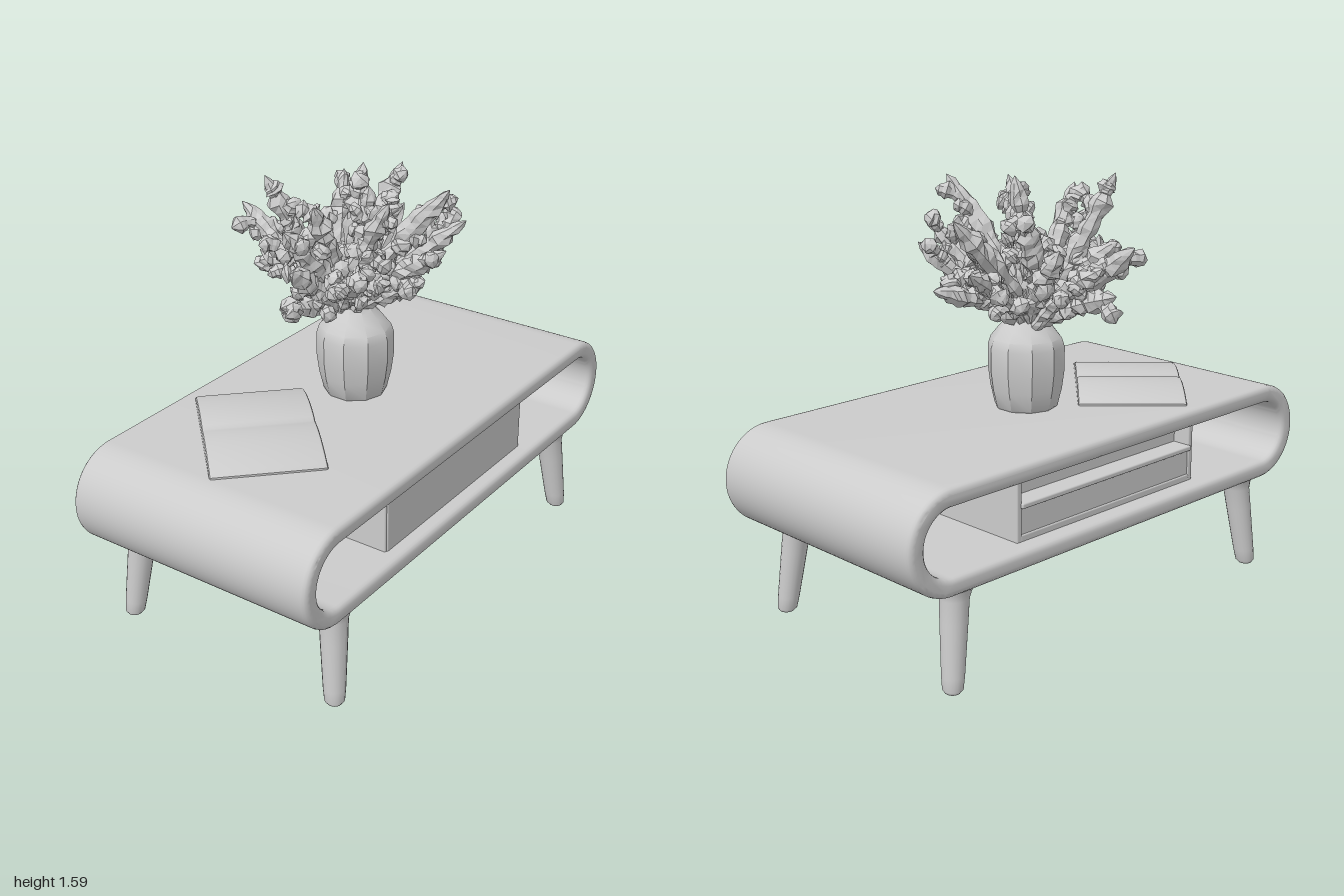
import * as THREE from 'three';
import { toCreasedNormals, mergeGeometries } from 'three/addons/utils/BufferGeometryUtils.js';
import { RoundedBoxGeometry } from 'three/addons/geometries/RoundedBoxGeometry.js';

const grey = new THREE.MeshStandardMaterial({ color: 0xcccccc });
const crumpled = new THREE.MeshStandardMaterial({ color: 0xcccccc, flatShading: true, side: THREE.DoubleSide });
const V = (x, y, z) => new THREE.Vector3(x, y, z);

let seed = 11;
const rand = (a, b) => {
  seed = (seed * 16807) % 2147483647;
  return a + (b - a) * (seed / 2147483647);
};

function add(parent, name, geometry, material = grey, pos = [0, 0, 0]) {
  const mesh = new THREE.Mesh(geometry, material);
  mesh.name = name;
  mesh.position.set(...pos);
  parent.add(mesh);
  return mesh;
}

function box(parent, name, x0, x1, y0, y1, z0, z1) {
  add(parent, name, new RoundedBoxGeometry(x1 - x0, y1 - y0, z1 - z0, 2, 0.006), grey,
    [(x0 + x1) / 2, (y0 + y1) / 2, (z0 + z1) / 2]);
}

// Traces a rectangle with semicircular ends
function stadium(path, halfWidth, r) {
  const c = halfWidth - r;
  path.moveTo(-c, -r);
  path.lineTo(c, -r);
  path.absarc(c, 0, r, -Math.PI / 2, Math.PI / 2, false);
  path.lineTo(-c, r);
  path.absarc(-c, 0, r, Math.PI / 2, Math.PI * 1.5, false);
  return path;
}

// Looped table body, open at the front and back
function buildShell(parent) {
  const shape = stadium(new THREE.Shape(), 1, 0.185);
  shape.holes.push(stadium(new THREE.Path(), 0.932, 0.12));
  const geo = new THREE.ExtrudeGeometry(shape, {
    depth: 0.966, bevelThickness: 0.02, bevelSize: 0.02, bevelOffset: -0.02, bevelSegments: 3, curveSegments: 20,
  });
  geo.translate(0, 0.546, -0.483);
  add(parent, 'tableShell', toCreasedNormals(geo, 0.6));
}

// Central compartment: dividers, flush drawer front, stepped back
function buildCompartment(parent) {
  const g = new THREE.Group();
  g.name = 'drawerCompartment';
  parent.add(g);
  for (const s of [-1, 1]) {
    const x = s * 0.451;
    box(g, 'divider', x - 0.012, x + 0.012, 0.42, 0.675, -0.43, 0.44);
  }
  box(g, 'drawerFront', -0.455, 0.455, 0.42, 0.655, 0.40, 0.445);
  box(g, 'compartmentFloor', -0.445, 0.445, 0.42, 0.45, -0.43, 0.42);
  box(g, 'backPanel', -0.445, 0.445, 0.43, 0.56, -0.425, -0.39);
  box(g, 'backLedge', -0.445, 0.445, 0.545, 0.565, -0.44, -0.33);
  box(g, 'upperBackPanel', -0.445, 0.445, 0.56, 0.675, -0.36, -0.33);
}

// Tapered, splayed legs with a small collar
function buildLegs(parent) {
  const profile = [[0, 0], [0.026, 0.002], [0.036, 0.014], [0.04, 0.06], [0.048, 0.24], [0.051, 0.32], [0.058, 0.345], [0.068, 0.37]];
  const geo = new THREE.LatheGeometry(profile.map(p => new THREE.Vector2(...p)), 20);
  for (const sx of [-1, 1]) for (const sz of [-1, 1]) {
    const leg = geo.clone();
    const p = leg.attributes.position;
    for (let i = 0; i < p.count; i++) {
      const t = p.getY(i) / 0.37;
      p.setX(i, p.getX(i) + sx * (0.788 - 0.045 * t));
      p.setZ(i, p.getZ(i) + sz * (0.457 - 0.034 * t));
    }
    leg.computeVertexNormals();
    add(parent, 'leg', leg);
  }
}

// Open book lying across the left of the top, its pages thinning to the edges
function buildBook(parent) {
  const s = new THREE.Shape();
  s.moveTo(-0.3, -0.005);
  s.lineTo(0.3, -0.005);
  s.lineTo(0.3, 0.008);
  s.bezierCurveTo(0.22, 0.038, 0.08, 0.055, 0, 0.03);
  s.bezierCurveTo(-0.08, 0.05, -0.2, 0.038, -0.3, 0.008);
  s.closePath();
  const geo = new THREE.ExtrudeGeometry(s, {
    depth: 0.38, bevelThickness: 0.012, bevelSize: 0.008, bevelOffset: -0.008, bevelSegments: 2, curveSegments: 12,
  });
  geo.translate(0, 0, -0.19);
  const book = add(parent, 'openBook', toCreasedNormals(geo, 0.7), grey, [-0.47, 0.73, -0.095]);
  book.rotation.y = Math.PI / 4;
}

// Softly faceted vase with a sloping shoulder
function buildVase(parent) {
  const profile = [[0, 0], [0.108, 0], [0.118, 0.012], [0.134, 0.08], [0.143, 0.15], [0.143, 0.235], [0.132, 0.268],
    [0.1, 0.308], [0.074, 0.335], [0.062, 0.352], [0.05, 0.35], [0.045, 0.31], [0, 0.3]];
  const geo = new THREE.LatheGeometry(profile.map(p => new THREE.Vector2(...p)), 10);
  add(parent, 'vase', toCreasedNormals(geo, 0.5), grey, [0.01, 0.725, -0.017]);
}

// Knobbly sprig: a tube with uneven rings that tapers to its tip
function sprig(points, radius, rings) {
  const curve = new THREE.CatmullRomCurve3(points);
  const sides = 7;
  const geo = new THREE.TubeGeometry(curve, rings, radius, sides);
  const p = geo.attributes.position;
  const v = V(0, 0, 0);
  for (let i = 0; i <= rings; i++) {
    const t = i / rings;
    const c = curve.getPointAt(t);
    const taper = Math.min(1, 0.45 + t) * Math.sqrt(Math.min(1, (1 - t) * 5));
    const swell = taper * rand(0.75, 1.2);
    let first = 1;
    for (let j = 0; j <= sides; j++) {
      const k = i * (sides + 1) + j;
      let n = rand(0.75, 1.25);
      if (j === 0) first = n;
      if (j === sides) n = first;
      v.fromBufferAttribute(p, k).sub(c).multiplyScalar(swell * n).add(c);
      p.setXYZ(k, v.x, v.y, v.z);
    }
  }
  return geo;
}

// Bouquet: stems fan from the vase neck, each with short side sprigs
function buildBouquet(parent) {
  const tips = [
    [-0.03, 1.38, -0.5], [-0.02, 1.2, -0.43], [-0.08, 1.41, 0.42], [0.08, 1.56, 0.33],
    [0.18, 1.42, 0.34], [-0.23, 1.59, -0.23], [0.08, 1.59, -0.03], [-0.13, 1.55, 0.22],
    [0, 1.54, 0.05], [0.2, 1.5, -0.2], [0.44, 1.48, -0.1], [0.45, 1.31, -0.19],
    [0.4, 1.21, 0.05], [0.31, 1.35, 0.23], [-0.34, 1.45, -0.07], [-0.35, 1.32, -0.02],
    [-0.35, 1.17, -0.08], [-0.28, 1.33, 0.21], [-0.02, 1.25, 0.3], [0.12, 1.36, -0.29],
    [-0.2, 1.35, -0.27], [0.25, 1.27, -0.08], [0.15, 1.2, 0.15], [-0.12, 1.22, 0.1],
    [-0.26, 1.53, 0.0], [0.02, 1.3, -0.4], [0.3, 1.38, 0.0], [-0.2, 1.4, 0.2],
  ];
  const parts = [];
  for (const tip of tips) {
    const end = V(...tip);
    const start = V(rand(-0.03, 0.04), 1.03, rand(-0.08, -0.01));
    const mid = start.clone().lerp(end, 0.5).add(V(rand(-0.02, 0.02), rand(-0.01, 0.03), rand(-0.02, 0.02)));
    const stem = [start, mid, end];
    parts.push(sprig(stem, 0.036, 22));
    const curve = new THREE.CatmullRomCurve3(stem);
    for (const t of [0.35, 0.48, 0.6, 0.7, 0.82]) {
      const a = curve.getPointAt(t);
      const dir = curve.getTangentAt(t).multiplyScalar(0.6)
        .add(V(rand(-1, 1), rand(-0.8, 0.7), rand(-1, 1))).normalize();
      const b = a.clone().addScaledVector(dir, rand(0.07, 0.12));
      b.x = THREE.MathUtils.clamp(b.x, -0.34, 0.43);
      b.y = Math.max(b.y, 1.08);
      b.z = THREE.MathUtils.clamp(b.z, -0.47, 0.39);
      parts.push(sprig([a, a.clone().lerp(b, 0.5).add(V(0, 0.01, 0)), b], 0.03, 8));
    }
  }
  add(parent, 'bouquet', mergeGeometries(parts), crumpled);
}

export function createModel() {
  const model = new THREE.Group();
  model.name = 'coffeeTableWithVase';
  buildShell(model);
  buildCompartment(model);
  buildLegs(model);
  buildBook(model);
  buildVase(model);
  buildBouquet(model);
  return model;
}
